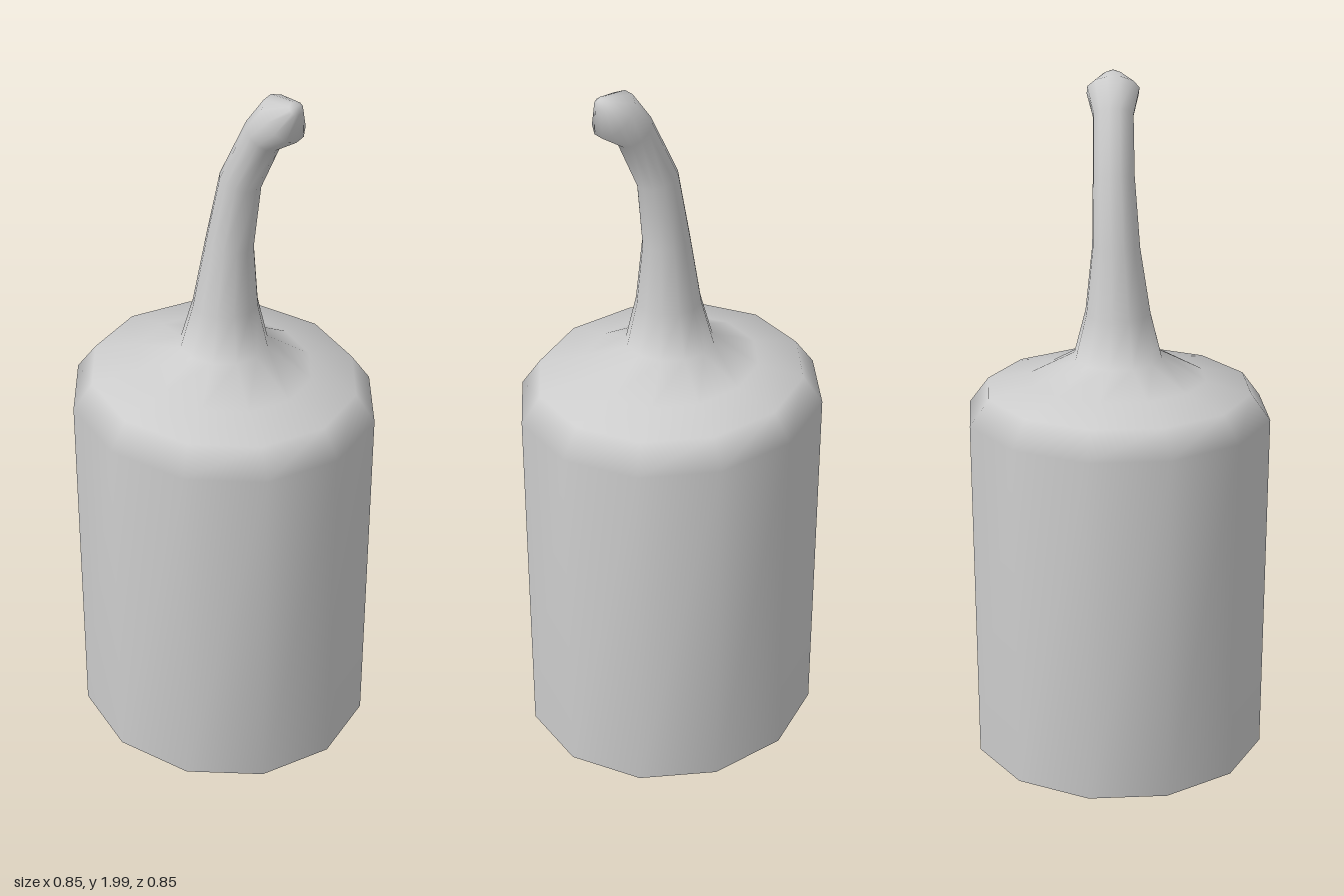
import * as THREE from 'three';

const SIDES = 12;
const PHASE = THREE.MathUtils.degToRad(12);

// Smooth skin over a stack of tilted elliptical rings, closed by a fan at the tip.
// Each ring: [centreX, centreY, centreZ, radiusX, radiusZ, slope of y along x]
function loft(rings, tip) {
  const positions = [];
  const index = [];
  for (const [cx, cy, cz, rx, rz, slope] of rings) {
    for (let j = 0; j < SIDES; j++) {
      const a = PHASE + (j / SIDES) * Math.PI * 2;
      const dx = Math.cos(a) * rx;
      positions.push(cx + dx, cy + slope * dx, cz + Math.sin(a) * rz);
    }
  }
  const tipIndex = rings.length * SIDES;
  positions.push(...tip);
  for (let i = 0; i < rings.length; i++) {
    for (let j = 0; j < SIDES; j++) {
      const next = (j + 1) % SIDES;
      const a = i * SIDES + j;
      const b = i * SIDES + next;
      if (i === rings.length - 1) index.push(a, tipIndex, b);
      else index.push(a, a + SIDES, b, b, a + SIDES, b + SIDES);
    }
  }
  const geometry = new THREE.BufferGeometry();
  geometry.setAttribute('position', new THREE.Float32BufferAttribute(positions, 3));
  geometry.setIndex(index);
  geometry.computeVertexNormals();
  return geometry;
}

export function createModel() {
  const group = new THREE.Group();
  group.name = 'stemmedCap';
  const material = new THREE.MeshStandardMaterial({ color: 0xcccccc, side: THREE.DoubleSide });

  const rings = [
    // open hollow wall
    [0, 0.032, 0, 0.433, 0.433, -0.062],
    [0, 1.075, 0, 0.433, 0.433, -0.06],
    // bevel and sloping shoulder
    [0, 1.15, 0, 0.378, 0.378, -0.06],
    [0, 1.178, 0, 0.25, 0.25, -0.08],
    // flared foot of the stem
    [0, 1.243, 0, 0.125, 0.125, 0],
    [0.004, 1.37, 0, 0.092, 0.092, 0],
    // curved stem
    [0.014, 1.555, -0.005, 0.067, 0.067, -0.08],
    [0.044, 1.745, -0.011, 0.056, 0.058, -0.27],
    [0.113, 1.893, -0.011, 0.044, 0.056, -0.76],
    // rounded knob
    [0.173, 1.95, -0.011, 0.049, 0.074, -1.04],
    [0.209, 1.986, -0.011, 0.013, 0.028, -1.04],
  ];
  const body = new THREE.Mesh(loft(rings, [0.218, 1.998, -0.011]), material);
  body.name = 'hollowBodyWithStem';
  group.add(body);
  return group;
}
